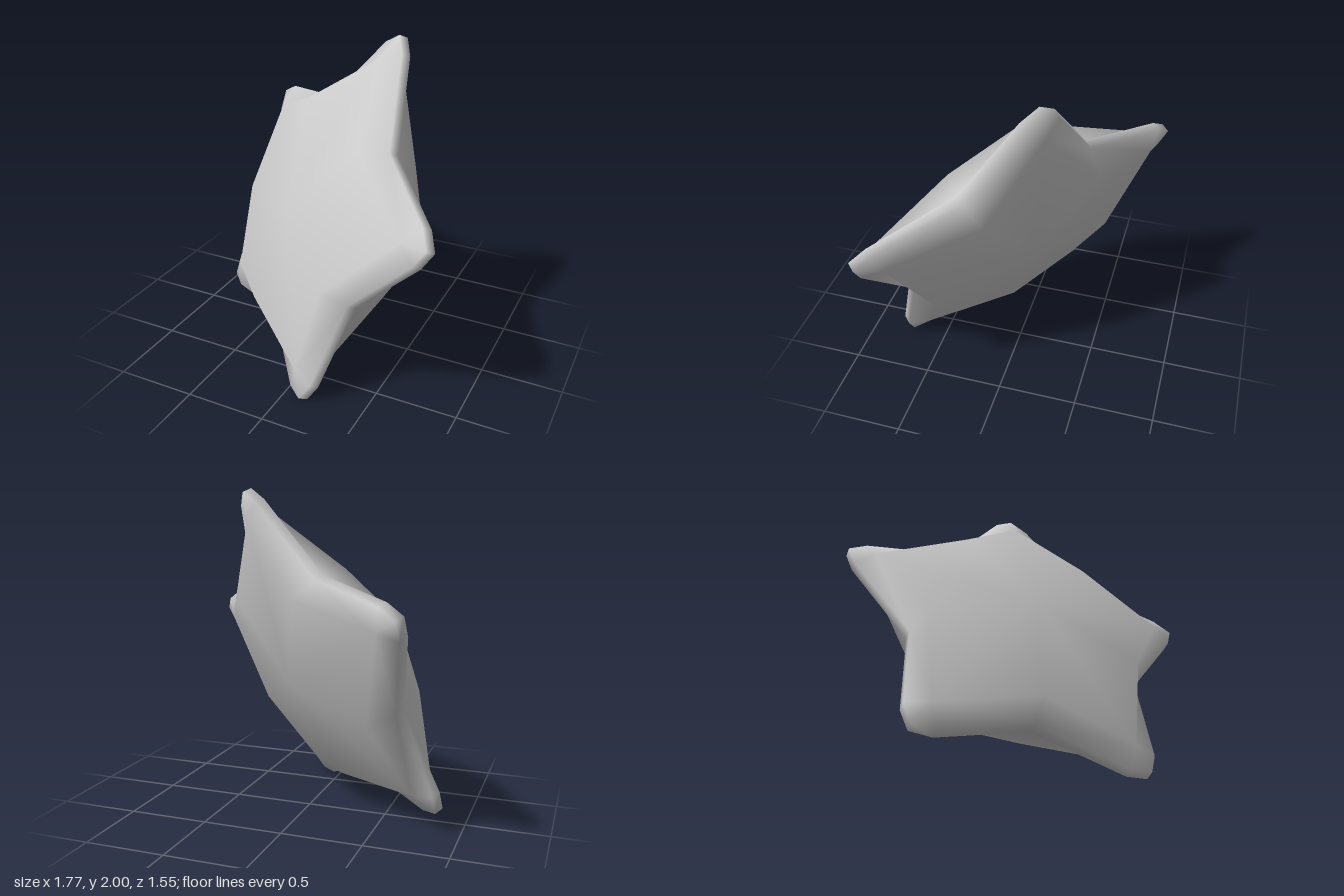
import * as THREE from 'three';
import { mergeVertices } from 'three/addons/utils/BufferGeometryUtils.js';

const EDGE = 0.03; // half thickness of the narrow rim band

// Half of the star's outline, from beside the top tip down to the bottom notch.
// The order repeats: side, notch, side, tip.
const HALF = [
  [0.11, 1.08], [0.435, 0.59], [0.995, 0.435], [1.103, 0.358],
  [1.06, 0.235], [0.71, -0.255], [0.727, -0.81], [0.682, -0.938],
  [0.55, -0.95],
];

function starOutline() {
  const mirrored = HALF.map(([x, y]) => [-x, y]);
  return [[0, 1.16], ...mirrored, [0, -0.77], ...HALF.slice().reverse()];
}

function starGeometry() {
  const outline = starOutline();
  const n = outline.length;
  const positions = [];

  const point = (j, scale, z) => {
    const [x, y] = outline[j % n];
    return [x * scale, y * scale, z];
  };

  // Front and back: a shallow faceted dome with bevels down to the outline
  for (const s of [1, -1]) {
    const tri = (a, b, c) => positions.push(...a, ...(s > 0 ? b : c), ...(s > 0 ? c : b));
    const centre = [0, 0, s * 0.265];
    const edge = (j) => point(j, 1, s * EDGE);
    for (let j = 0; j < n; j += 4) {
      const tip = point(j, 0.86, s * 0.08);
      const notch = point(j + 2, 0.92, s * 0.2);
      const nextTip = point(j + 4, 0.86, s * 0.08);
      tri(centre, tip, notch);
      tri(centre, notch, nextTip);
      tri(tip, edge(j), edge(j + 1));
      tri(tip, edge(j + 1), edge(j + 2));
      tri(tip, edge(j + 2), notch);
      tri(notch, edge(j + 2), nextTip);
      tri(nextTip, edge(j + 2), edge(j + 3));
      tri(nextTip, edge(j + 3), edge(j + 4));
    }
  }

  // Narrow band joining the two sides
  for (let j = 0; j < n; j++) {
    const a = point(j, 1, EDGE);
    const b = point(j, 1, -EDGE);
    const c = point(j + 1, 1, -EDGE);
    const d = point(j + 1, 1, EDGE);
    positions.push(...a, ...b, ...c, ...a, ...c, ...d);
  }

  const geo = new THREE.BufferGeometry();
  geo.setAttribute('position', new THREE.Float32BufferAttribute(positions, 3));
  const smooth = mergeVertices(geo, 1e-4);
  smooth.computeVertexNormals();
  return smooth;
}

export function createModel() {
  const group = new THREE.Group();
  group.name = 'tiltedStar';
  const star = new THREE.Mesh(
    starGeometry(),
    new THREE.MeshStandardMaterial({ color: 0xcccccc })
  );
  star.name = 'starBody';

  // Lean and turn the star so that it rests on its lowest tip
  const up = new THREE.Vector3(0.327, 0.914, -0.24).normalize();
  const front = new THREE.Vector3(0.733, -0.095, 0.673).cross(up).normalize();
  const side = up.clone().cross(front);
  star.quaternion.setFromRotationMatrix(new THREE.Matrix4().makeBasis(side, up, front));
  star.position.set(-0.06, 0.93, 0.07);
  group.add(star);
  return group;
}
